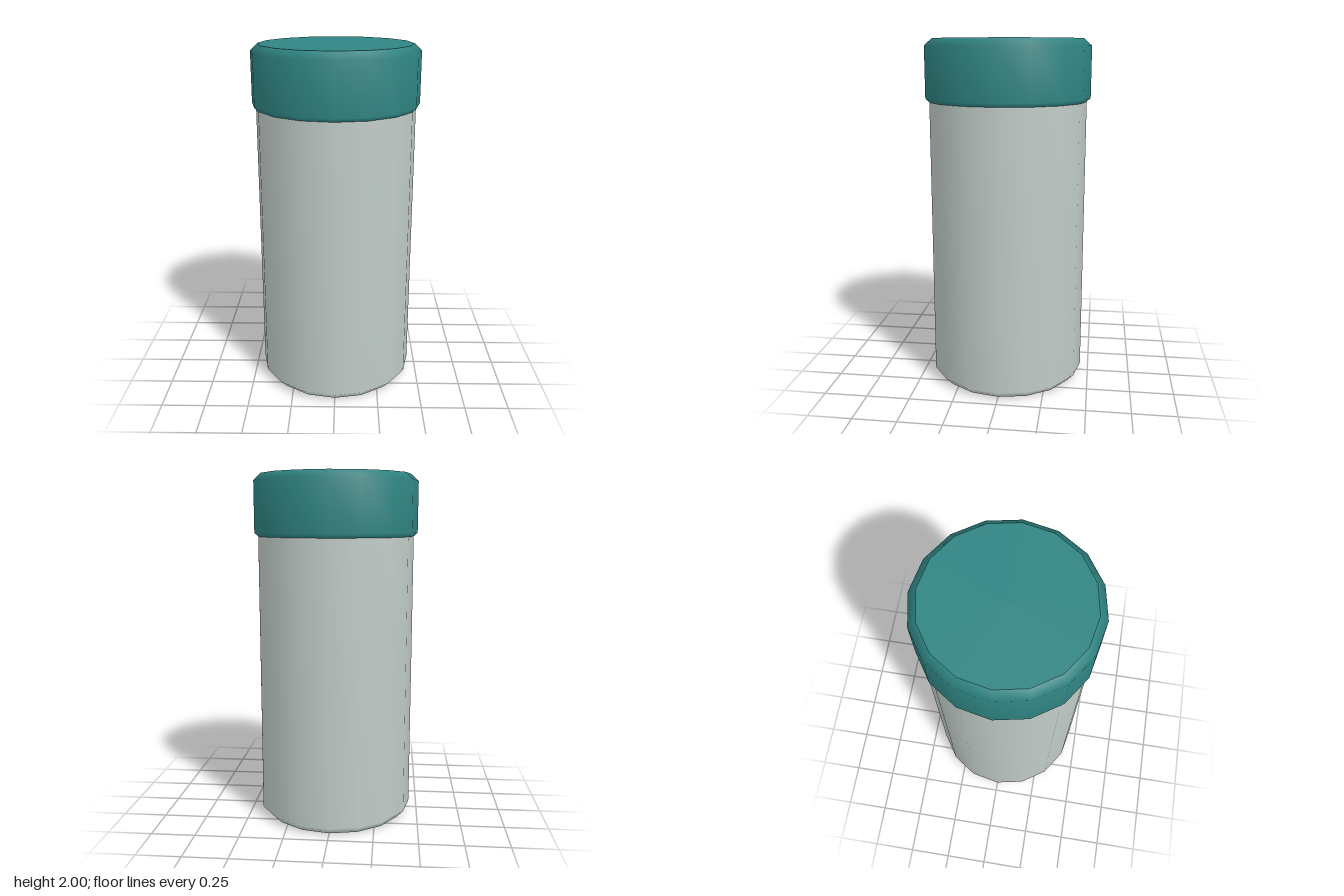
import * as THREE from 'three';

const SIDES = 16;

// A 16-sided turned wall with softly shaded bevels, closed by crisp flat discs.
function turnedPart(name, profile, material) {
  const part = new THREE.Group();
  part.name = name;

  const points = profile.map(([r, y]) => new THREE.Vector2(r, y));
  const wall = new THREE.Mesh(new THREE.LatheGeometry(points, SIDES), material);
  wall.name = name + 'Wall';
  part.add(wall);

  const ends = [
    ['Bottom', points[0], Math.PI / 2],
    ['Top', points[points.length - 1], -Math.PI / 2],
  ];
  for (const [label, end, tilt] of ends) {
    const disc = new THREE.Mesh(new THREE.CircleGeometry(end.x, SIDES), material);
    disc.name = name + label;
    disc.rotation.x = tilt;
    disc.position.y = end.y;
    part.add(disc);
  }
  return part;
}

export function createModel() {
  const paleGrey = new THREE.MeshStandardMaterial({ color: 0xc1ccc8 });
  paleGrey.name = 'pale grey';
  const teal = new THREE.MeshStandardMaterial({ color: 0x2f8583 });
  teal.name = 'teal';

  const model = new THREE.Group();
  model.name = 'lidded jar';

  // Container with a bevelled foot
  model.add(turnedPart('body', [[0.41, 0], [0.453, 0.045], [0.453, 1.645], [0.445, 1.655]], paleGrey));

  // Slightly wider lid, bevelled at both rims
  model.add(turnedPart('lid', [[0.452, 1.65], [0.475, 1.672], [0.475, 1.96], [0.432, 2]], teal));

  return model;
}
